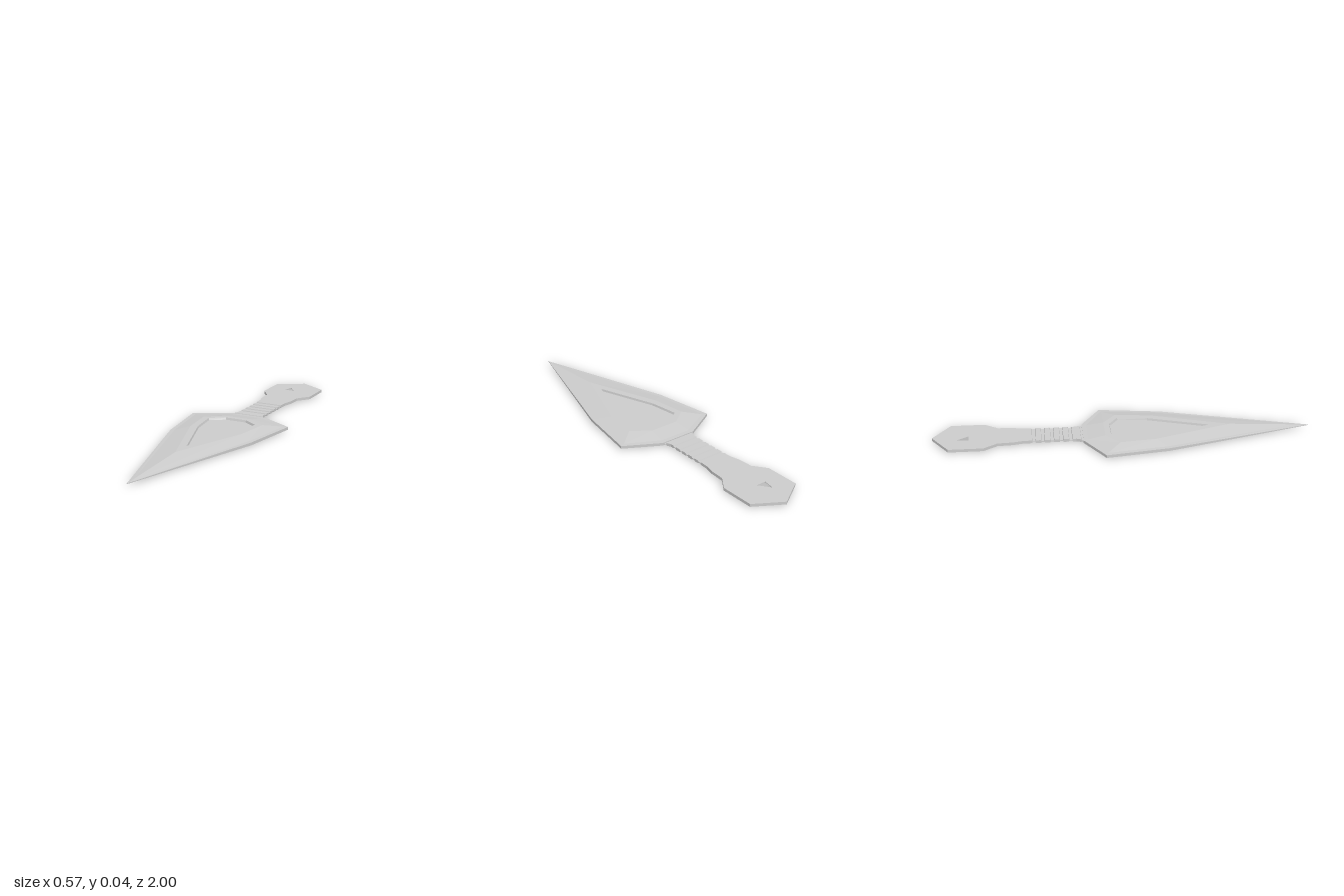
import * as THREE from 'three';

const material = new THREE.MeshStandardMaterial({ color: 0xcccccc, flatShading: true });

// Skins a sequence of equal-length point loops and caps both ends
function loft(name, loops) {
  const pos = [];
  const tri = (a, b, c) => pos.push(...a, ...b, ...c);
  const n = loops[0].length;
  for (let k = 0; k + 1 < loops.length; k++) {
    const a = loops[k], b = loops[k + 1];
    for (let i = 0; i < n; i++) {
      const j = (i + 1) % n;
      tri(a[i], a[j], b[j]);
      tri(a[i], b[j], b[i]);
    }
  }
  const first = loops[0], last = loops[loops.length - 1];
  for (let i = 1; i + 1 < n; i++) {
    tri(first[0], first[i + 1], first[i]);
    tri(last[0], last[i], last[i + 1]);
  }
  const geo = new THREE.BufferGeometry();
  geo.setAttribute('position', new THREE.Float32BufferAttribute(pos, 3));
  geo.computeVertexNormals();
  const mesh = new THREE.Mesh(geo, material);
  mesh.name = name;
  return mesh;
}

// Horizontal blade loop: tip plus three mirrored corners
function bladeLoop(y, tipY, tipZ, corners) {
  const left = corners.map(([x, z]) => [x, y, z]);
  const right = corners.map(([x, z]) => [-x, y, z]).reverse();
  return [[0, tipY, tipZ], ...left, ...right];
}

function createBlade() {
  const edge = [[0.235, 0.22], [0.287, -0.11], [0.1, -0.215]];
  const rim = [[0.207, 0.2], [0.255, -0.1], [0.09, -0.185]];
  return loft('blade', [
    bladeLoop(0, 0, 0.44, [[0.095, 0.14], [0.115, -0.01], [0.05, -0.055]]),          // underside panel
    bladeLoop(0.012, 0.012, 0.49, [[0.115, 0.15], [0.137, -0.02], [0.06, -0.075]]),
    bladeLoop(0.012, 0.012, 0.9, rim),     // sunken underside
    bladeLoop(0.005, 0.0085, 0.9, rim),    // underside rim
    bladeLoop(0.005, 0.01, 1, edge),
    bladeLoop(0.02, 0.013, 1, edge),
    bladeLoop(0.021, 0.016, 0.94, [[0.215, 0.21], [0.262, -0.1], [0.09, -0.19]]),
    bladeLoop(0.036, 0.036, 0.57, [[0.15, 0.16], [0.175, -0.03], [0.08, -0.1]]),     // plateau
    bladeLoop(0.036, 0.036, 0.46, [[0.115, 0.14], [0.138, -0.02], [0.06, -0.07]]),
    bladeLoop(0.025, 0.025, 0.453, [[0.112, 0.14], [0.134, -0.018], [0.058, -0.066]]) // recess floor
  ]);
}

function createGrip() {
  const section = (z, w, dent = 0) => {
    const b = 0.005 + dent, t = 0.02 - dent;
    return [[w, b, z], [-w, b, z], [-w, t, z], [w, t, z]];
  };
  // Lowered collar behind the blade, stepping up to the wrap
  const loops = [section(-0.21, 0.1, 0.005), section(-0.225, 0.088, 0.005),
    section(-0.227, 0.086), section(-0.25, 0.076)];
  // Square-cut grooves
  for (let i = 0; i < 5; i++) {
    const z = -0.27 - i * 0.048;
    loops.push(section(z, 0.076), section(z - 0.002, 0.076, 0.005),
      section(z - 0.018, 0.076, 0.005), section(z - 0.02, 0.076));
  }
  loops.push(section(-0.53, 0.078));
  return loft('grip', loops);
}

function createPommel() {
  const group = new THREE.Group();
  group.name = 'pommel';
  const half = [[0.078, 0.53], [0.09, 0.58], [0.095, 0.66], [0.147, 0.73], [0.147, 0.91]];
  const outline = [...half, [0, 1], ...half.map(([x, s]) => [-x, s]).reverse()];
  const points = list => list.map(([x, s]) => new THREE.Vector2(x, s));

  const layer = (name, hole, y, depth) => {
    const shape = new THREE.Shape(points(outline));
    shape.holes.push(hole);
    const geo = new THREE.ExtrudeGeometry(shape, { depth, bevelEnabled: false, curveSegments: 16 });
    geo.rotateX(-Math.PI / 2);
    const mesh = new THREE.Mesh(geo, material);
    mesh.name = name;
    mesh.position.y = y;
    group.add(mesh);
  };
  // Round pocket below, small triangular opening above
  layer('pommelBase', new THREE.Path().absarc(0, 0.83, 0.062, 0, Math.PI * 2, true), 0.005, 0.012);
  layer('pommelTop', new THREE.Path(points([[-0.045, 0.81], [-0.035, 0.87], [0.008, 0.81]])), 0.017, 0.003);
  return group;
}

export function createModel() {
  const model = new THREE.Group();
  model.name = 'dagger';
  model.add(createBlade(), createGrip(), createPommel());
  return model;
}
